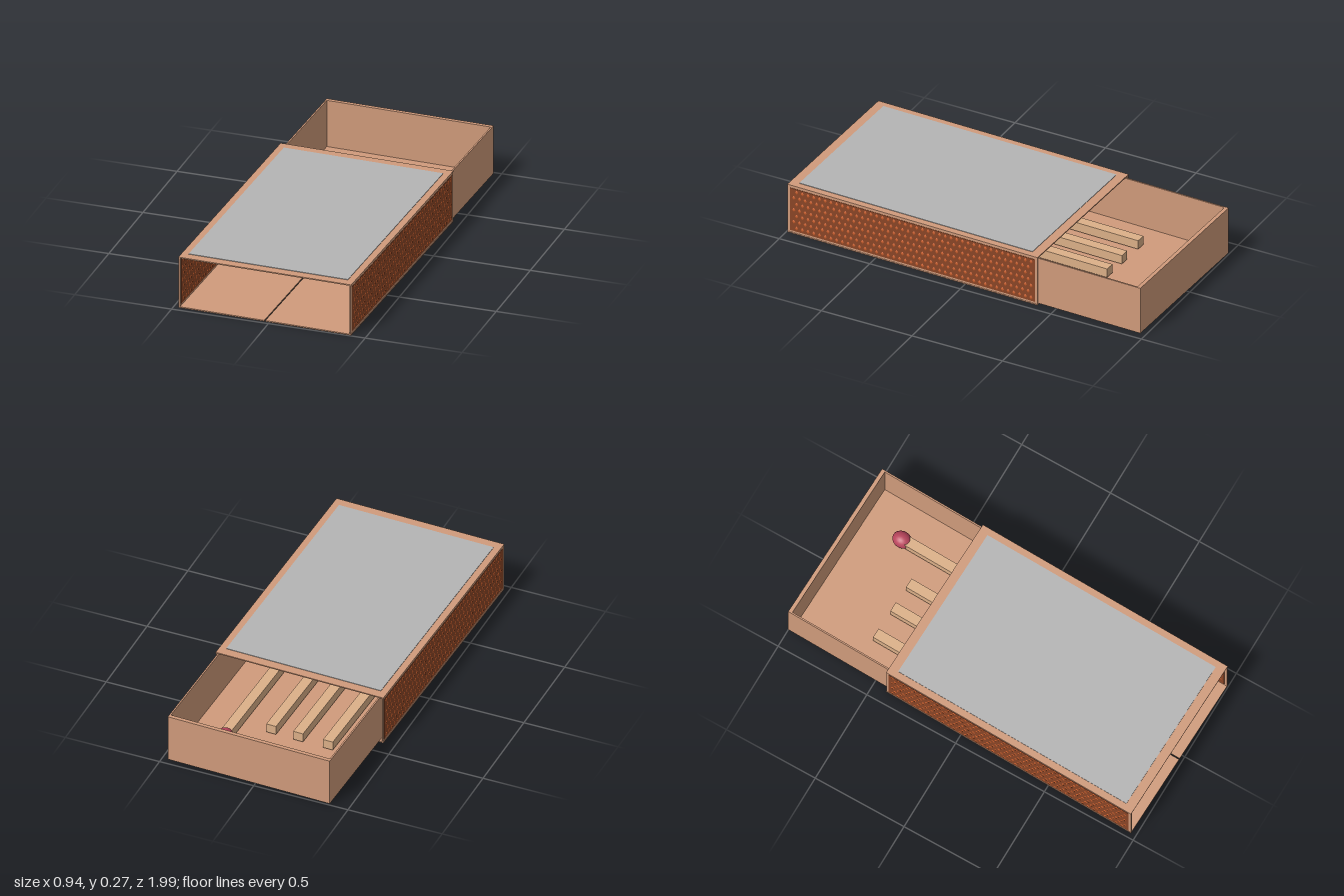
import * as THREE from 'three';
import { mergeGeometries } from 'three/addons/utils/BufferGeometryUtils.js';

const paint = (color) => new THREE.MeshStandardMaterial({ color });
const card = paint(0xd09b7b);
const wood = paint(0xdcb088);
const label = paint(0xb4b4b4);
const strikerBase = paint(0x8a4526);
const strikerGrit = paint(0xd0622f);
const headRed = paint(0xb8445c);

function add(parent, name, geometry, material, x = 0, y = 0, z = 0) {
  const mesh = new THREE.Mesh(geometry, material);
  mesh.name = name;
  mesh.position.set(x, y, z);
  parent.add(mesh);
  return mesh;
}
const box = (parent, name, material, w, h, d, x, y, z) =>
  add(parent, name, new THREE.BoxGeometry(w, h, d), material, x, y, z);

// Staggered rows of flattened grains that show on both faces of the wall
function gritGeometry() {
  const grains = [];
  const rows = 7, columns = 42;
  for (let r = 0; r < rows; r++) {
    for (let c = 0; c < columns; c++) {
      const grain = new THREE.SphereGeometry(1, 6, 4);
      grain.scale(0.007, 0.015, 0.014);
      grain.translate(0, (r - 3) * 0.034, (c - (columns - 1) / 2 + (r % 2 ? 0.25 : -0.25)) * 0.032);
      grains.push(grain);
    }
  }
  return mergeGeometries(grains);
}

function createSleeve() {
  const sleeve = new THREE.Group();
  sleeve.name = 'sleeve';
  const W = 0.9, H = 0.272, L = 1.4, t = 0.006;
  box(sleeve, 'sleeveTop', card, W, t, L, 0, H - t / 2, 0);
  box(sleeve, 'topLabel', label, 0.83, 0.003, 1.305, 0, H + 0.001, 0);
  const grit = gritGeometry();
  for (const s of [-1, 1]) {
    // Floor flaps meet at a narrow seam
    const flap = W / 2 - 0.003;
    box(sleeve, 'floorFlap', card, flap, t, L, s * (W / 2 - flap / 2), t / 2, 0);
    // Side wall carrying the striking strip
    const x = s * (W / 2 - 0.005);
    box(sleeve, 'sleeveSide', card, t, H - 0.002, L, x, H / 2, 0);
    box(sleeve, 'strikerStrip', strikerBase, t + 0.003, 0.24, 1.37, x, H / 2, 0);
    add(sleeve, 'strikerGrit', grit, strikerGrit, x, H / 2, 0);
  }
  return sleeve;
}

// Square stick with a rounded head; the head points to -z
function createMatch() {
  const match = new THREE.Group();
  match.name = 'match';
  const length = 0.95;
  box(match, 'matchStick', wood, 0.052, 0.048, length, 0, 0, 0);
  const head = add(match, 'matchHead', new THREE.SphereGeometry(0.042, 20, 14), headRed, 0, 0, -length / 2 - 0.01);
  head.scale.z = 1.2;
  return match;
}

function createTray() {
  const tray = new THREE.Group();
  tray.name = 'tray';
  const W = 0.87, H = 0.256, L = 1.4, y0 = 0.008;
  box(tray, 'trayFloor', card, W, 0.008, L, 0, y0 + 0.004, 0);
  for (const s of [-1, 1]) {
    box(tray, 'traySide', card, 0.008, H, L, s * (W / 2 - 0.004), y0 + H / 2, 0);
    box(tray, 'trayEnd', card, W - 0.002, H, 0.02, 0, y0 + H / 2, s * (L / 2 - 0.01));
  }
  // [x, z of the end nearest the back, turned round]
  const matches = [[-0.246, -0.315, true], [-0.086, -0.315, true], [0.059, -0.315, true], [0.24, -0.455, false]];
  for (const [x, z, turned] of matches) {
    const match = createMatch();
    match.position.set(x, y0 + 0.042, z + 0.475);
    if (turned) match.rotation.y = Math.PI;
    tray.add(match);
  }
  return tray;
}

export function createModel() {
  const model = new THREE.Group();
  model.name = 'matchbox';
  const sleeve = createSleeve();
  sleeve.position.set(-0.007, 0, 0.284);
  sleeve.rotation.y = -0.025;
  const tray = createTray();
  tray.position.set(0.013, 0, -0.288);
  tray.rotation.y = -0.027;
  model.add(sleeve, tray);
  return model;
}
